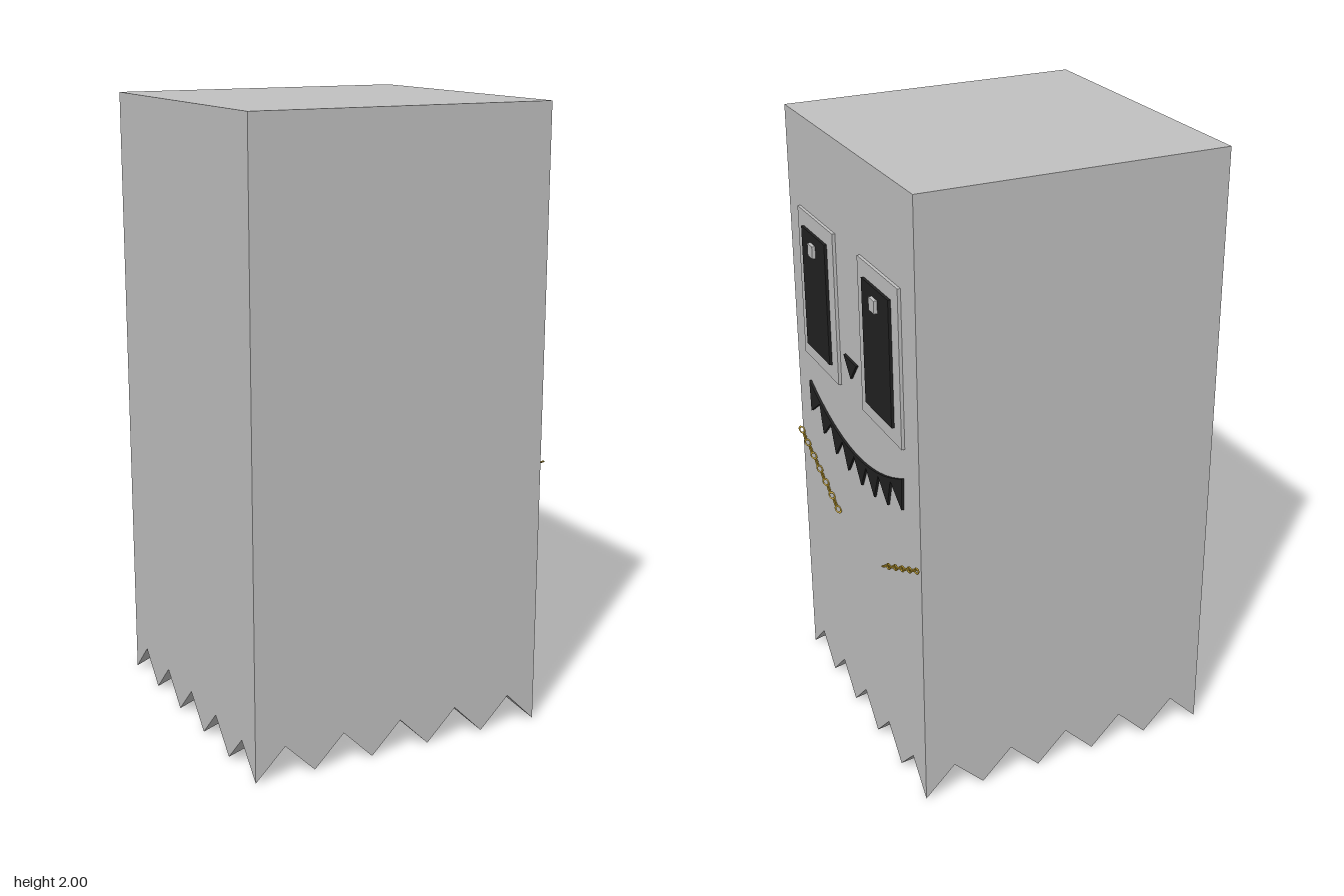
import * as THREE from 'three';

export function createModel() {
  const model = new THREE.Group();
  const mat = (name, color) => {
    const m = new THREE.MeshStandardMaterial({ color });
    m.name = name;
    return m;
  };
  const grey = mat('pale grey', 0xc0c0c0);
  const black = mat('soft black', 0x222222);
  const gold = mat('gold', 0xd4af37);
  const add = (parent, name, geometry, material) => {
    const mesh = new THREE.Mesh(geometry, material);
    mesh.name = name;
    parent.add(mesh);
    return mesh;
  };

  // Body: four walls with a zigzag hem, a flat top and a spiked underside
  const body = new THREE.Group();
  body.name = 'body';
  body.position.x = -0.015;
  model.add(body);

  const outline = [new THREE.Vector2(0.5, 2), new THREE.Vector2(-0.5, 2)];
  for (let i = 0; i <= 10; i++) outline.push(new THREE.Vector2(-0.5 + i * 0.1, i % 2 ? 0.1 : 0));
  const wall = new THREE.ShapeGeometry(new THREE.Shape(outline)).translate(0, 0, 0.5);
  for (let k = 0; k < 4; k++) add(body, 'wall', wall.clone().rotateY(k * Math.PI / 2), grey);
  add(body, 'top', new THREE.PlaneGeometry(1, 1).rotateX(-Math.PI / 2).translate(0, 2, 0), grey);

  // Spikes point down at every even grid crossing; two valleys are dented
  const point = (i, j) => {
    if (i === 7 && j === 4) return [0.25, 0.05, -0.1];
    if (i === 9 && j === 4) return [0.4, 0.03, -0.1];
    return [-0.5 + i * 0.1, i % 2 || j % 2 ? 0.1 : 0, -0.5 + j * 0.1];
  };
  const verts = [];
  for (let i = 0; i < 10; i++) {
    for (let j = 0; j < 10; j++) {
      const c = [point(i, j), point(i + 1, j), point(i + 1, j + 1), point(i, j + 1)];
      const tip = j % 2 ? (i % 2 ? 2 : 3) : i % 2;
      for (const k of [0, 1, 2, 0, 2, 3]) verts.push(...c[(tip + k) % 4]);
    }
  }
  const spikes = new THREE.BufferGeometry();
  spikes.setAttribute('position', new THREE.Float32BufferAttribute(verts, 3));
  spikes.computeVertexNormals();
  add(body, 'spikedUnderside', spikes, grey);

  // Eyes: frame, pupil and glint stacked outwards on the +x wall
  const slab = (parent, name, x0, x1, y, z, h, w, material) =>
    add(parent, name, new THREE.BoxGeometry(x1 - x0, h, w).translate((x0 + x1) / 2, y, z), material);
  for (const s of [1, -1]) {
    const eye = new THREE.Group();
    eye.name = s > 0 ? 'eyeFront' : 'eyeBack';
    model.add(eye);
    slab(eye, 'eyeFrame', 0.48, 0.495, 1.45, s * 0.25, 0.5, 0.3, grey);
    slab(eye, 'pupil', 0.495, 0.504, 1.45, s * 0.25, 0.4, 0.2, black);
    slab(eye, 'glint', 0.504, 0.515, 1.6, s * 0.25, 0.04, 0.04, grey);
  }

  // Nose and toothy mouth, thin plates on the same wall
  const plate = (name, pts) => {
    const shape = new THREE.Shape(pts.map(([u, v]) => new THREE.Vector2(u, v)));
    const g = new THREE.ExtrudeGeometry(shape, { depth: 0.009, bevelEnabled: false });
    add(model, name, g.rotateY(Math.PI / 2).translate(0.484, 0, 0), black);
  };
  plate('nose', [[-0.052, 1.325], [0, 1.262], [0.052, 1.325]]);

  const smile = u => 1 + 0.64 * u * u;
  const top = [];
  for (let i = 0; i <= 16; i++) {
    const u = 0.386 - i * 0.386 / 8;
    top.push([u, smile(u) + 0.003]);
  }
  const half = [[0.38, 0.99], [0.298, 1.048], [0.27, 0.953], [0.2, 1.018], [0.162, 0.927], [0.1, 1.0], [0.056, 0.917]];
  const teeth = [...half.map(([u, v]) => [-u, v]), [0, 0.993], ...half.slice().reverse()];
  plate('mouth', [...top, ...teeth]);

  // Whiskers: chains of oval links, each turned a quarter from the last
  const chain = (name, z0, y0, z1, y1, count) => {
    const group = new THREE.Group();
    group.name = name;
    group.position.set(0.494, y0, z0);
    const length = Math.hypot(z1 - z0, y1 - y0);
    group.rotation.x = -Math.atan2(y1 - y0, z1 - z0);
    const pitch = length / count;
    for (let i = 0; i < count; i++) {
      const link = new THREE.TorusGeometry(0.0085, 0.0026, 6, 12)
        .scale(1, pitch * 0.62 / 0.0111, 1)
        .rotateX(Math.PI / 2)
        .rotateZ(i % 2 ? Math.PI / 2 : 0)
        .translate(0, 0, (i + 0.5) * pitch);
      add(group, 'chainLink', link, gold);
    }
    model.add(group);
  };
  chain('whiskerFront', 0.15, 0.715, 0.5, 0.877, 13);
  chain('whiskerBack', -0.225, 0.715, -0.5, 0.845, 10);

  return model;
}
